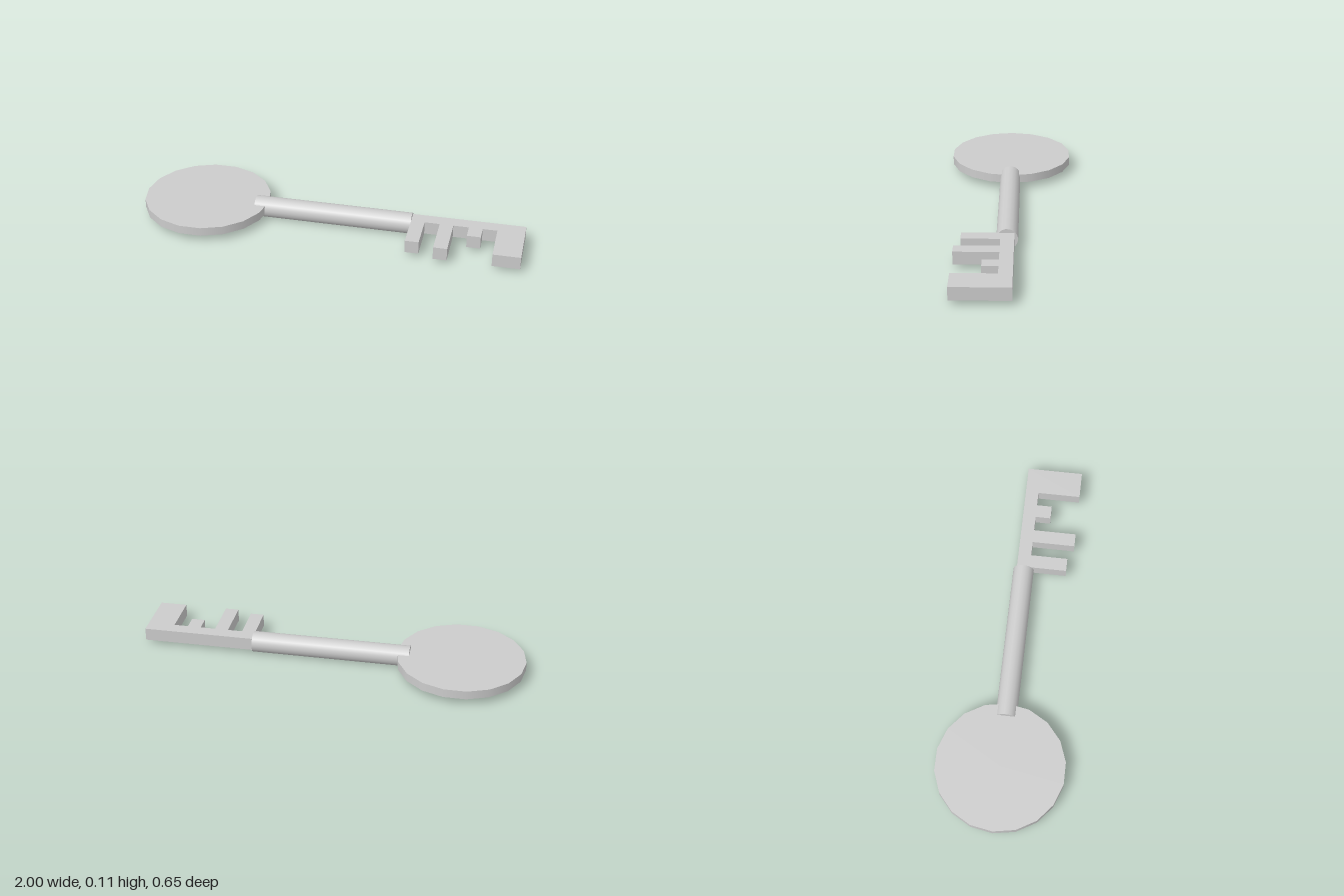
import * as THREE from 'three';

const SIDES = 18;
const MID_Y = 0.053;

export function createModel() {
  const model = new THREE.Group();
  model.name = 'key';
  const material = new THREE.MeshStandardMaterial({ color: 0xcccccc });

  const add = (name, geometry, x, y, z = 0) => {
    const mesh = new THREE.Mesh(geometry, material);
    mesh.name = name;
    mesh.position.set(x, y, z);
    model.add(mesh);
  };

  // Flat round handle, with a corner pointing along the shaft
  const bow = new THREE.CylinderGeometry(0.33, 0.33, 0.045, SIDES, 1, false, Math.PI / 2);
  add('bow', bow, -0.67, 0.0575);

  // Round shaft along x, its end overlapping the handle
  const start = -0.405, end = 0.42;
  const shaft = new THREE.CylinderGeometry(0.054, 0.054, end - start, SIDES);
  shaft.rotateZ(Math.PI / 2);
  add('shaft', shaft, (start + end) / 2, MID_Y);

  // Toothed bit: one outline in x and z, extruded through its thickness
  const back = -0.036, root = 0.032, top = 0.087, thickness = 0.067;
  const teeth = [
    [0.42, 0.49, 0.225],
    [0.567, 0.637, 0.255],
    [0.716, 0.786, 0.112],
    [0.86, 1, 0.255],
  ]; // from x, to x, tip z
  const outline = new THREE.Shape();
  outline.moveTo(1, back);
  outline.lineTo(end, back);
  teeth.forEach(([x0, x1, tip], i) => {
    if (i > 0) outline.lineTo(x0, root);
    outline.lineTo(x0, tip);
    outline.lineTo(x1, tip);
    if (i < teeth.length - 1) outline.lineTo(x1, root);
  });
  outline.closePath();
  const bit = new THREE.ExtrudeGeometry(outline, { depth: thickness, bevelEnabled: false });
  bit.rotateX(Math.PI / 2);
  add('bit', bit, 0, top);

  return model;
}
